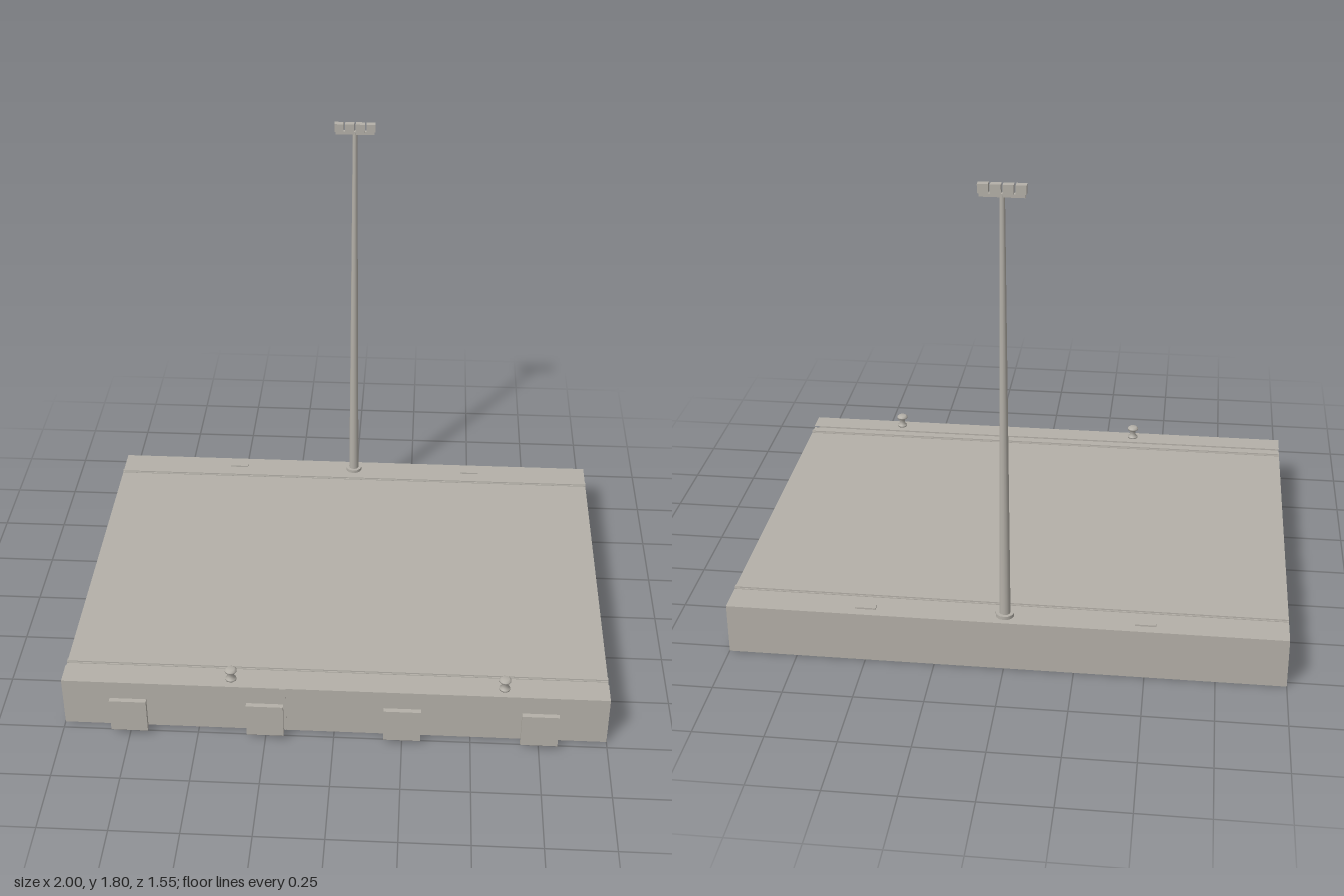
import * as THREE from 'three';

export function createModel() {
  const root = new THREE.Group();
  root.name = 'quaySection';
  const concrete = new THREE.MeshStandardMaterial({ color: 0xb4b0a8 });
  concrete.name = 'concrete grey';
  concrete.side = THREE.DoubleSide;

  function add(name, geometry, x, y, z, parent = root) {
    const mesh = new THREE.Mesh(geometry, concrete);
    mesh.name = name;
    mesh.position.set(x, y, z);
    parent.add(mesh);
    return mesh;
  }
  const box = (w, h, d) => new THREE.BoxGeometry(w, h, d);

  // Main slab
  add('slab', box(2, 0.19, 1.418), 0, 0.095, -0.066);

  // Open quay edge: a thin top sheet and a thin front sheet
  add('edgeTop', new THREE.PlaneGeometry(2, 0.085).rotateX(-Math.PI / 2), 0, 0.2, 0.6775);
  add('edgeFront', new THREE.PlaneGeometry(2, 0.2), 0, 0.1, 0.72);
  add('ladderStrip', box(0.024, 0.198, 0.002), -0.188, 0.1, 0.7205);

  // Crane rails: foot and head
  for (const z of [0.6, -0.65]) {
    add('railFoot', box(2, 0.003, 0.02), 0, 0.1915, z);
    add('railHead', box(2, 0.006, 0.011), 0, 0.195, z);
  }

  // Mooring bollards on the edge
  const bollardProfile = [
    [0, 0], [0.02, 0], [0.02, 0.006], [0.012, 0.012], [0.012, 0.03],
    [0.022, 0.038], [0.022, 0.044], [0.015, 0.05], [0, 0.05],
  ].map(([r, y]) => new THREE.Vector2(r, y));
  for (const x of [-0.38, 0.62]) {
    add('bollard', new THREE.LatheGeometry(bollardProfile, 16), x, 0.202, 0.678);
  }

  // Fenders: a square panel held by two rubber cones
  for (const x of [-0.75, -0.25, 0.25, 0.75]) {
    const fender = new THREE.Group();
    fender.name = 'fender';
    fender.position.set(x, 0.09, 0);
    root.add(fender);
    add('fenderPanel', box(0.135, 0.137, 0.018), 0, 0, 0.766, fender);
    for (const side of [-1, 1]) {
      const cone = new THREE.CylinderGeometry(0.019, 0.03, 0.036, 16).rotateX(Math.PI / 2);
      add('fenderCone', cone, side * 0.031, 0, 0.739, fender);
    }
  }

  // Low pads along the back
  for (const x of [-0.5, 0.5]) add('pad', box(0.075, 0.006, 0.03), x, 0.193, -0.725);

  // Light mast with a row of four lamps
  const mast = new THREE.Group();
  mast.name = 'lightMast';
  mast.position.set(0, 0, -0.722);
  root.add(mast);
  add('mastBase', new THREE.CylinderGeometry(0.033, 0.033, 0.014, 12), 0, 0.196, 0, mast);
  add('mastPole', new THREE.CylinderGeometry(0.009, 0.02, 1.56, 12), 0, 0.98, 0, mast);
  add('lampBar', box(0.15, 0.012, 0.016), 0, 1.759, 0, mast);
  for (let i = 0; i < 4; i++) {
    add('lamp', box(0.035, 0.031, 0.025), (i - 1.5) * 0.041, 1.781, 0, mast);
  }
  return root;
}
